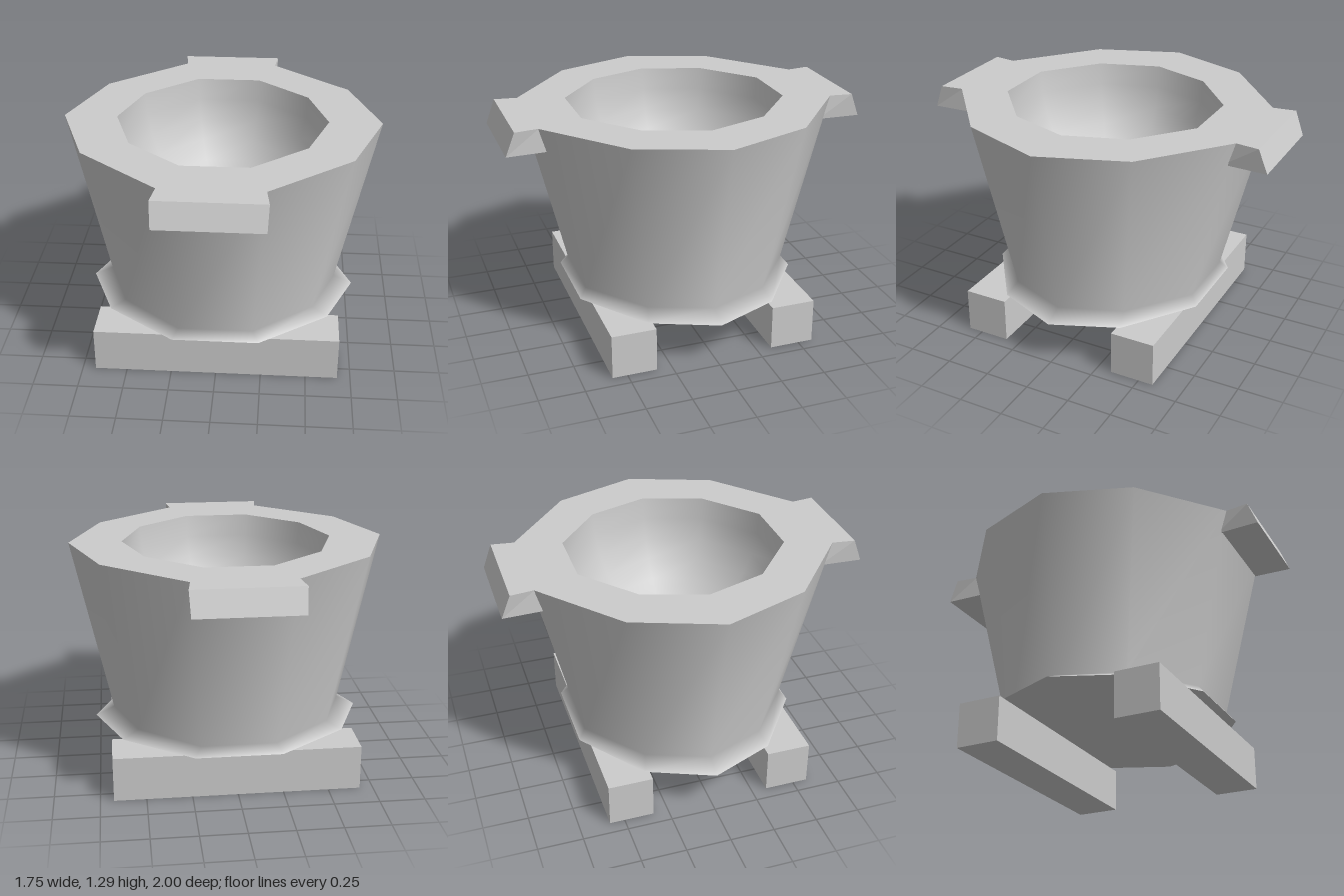
import * as THREE from 'three';

const mat = new THREE.MeshStandardMaterial({ color: 0xcccccc });

// Ten-sided ring from one quadrant: side point, diagonal point, front point
function ring(y, [ax], [bx, bz], [cx, cz]) {
  return [[ax, 0], [bx, bz], [cx, cz], [-cx, cz], [-bx, bz],
    [-ax, 0], [-bx, -bz], [-cx, -cz], [cx, -cz], [bx, -bz]].map(([x, z]) => [x, y, z]);
}
const scaled = (r, y, sx, sz = sx) => r.map(([x, , z]) => [x * sx, y, z * sz]);

// Skin over successive rings, smooth within one skin
function loft(name, rings) {
  const n = rings[0].length, idx = [];
  for (let r = 0; r < rings.length - 1; r++) {
    for (let i = 0; i < n; i++) {
      const a = r * n + i, b = r * n + (i + 1) % n;
      idx.push(a, a + n, b, a + n, b + n, b);
    }
  }
  const geo = new THREE.BufferGeometry();
  geo.setAttribute('position', new THREE.Float32BufferAttribute(rings.flat(2), 3));
  geo.setIndex(idx);
  geo.computeVertexNormals();
  const mesh = new THREE.Mesh(geo, mat);
  mesh.name = name;
  return mesh;
}

export function createModel() {
  const model = new THREE.Group();
  model.name = 'mortar';
  const top = 1.29, base = 0.255, floor = 0.65;

  const rim = ring(top, [0.873], [0.702, 0.465], [0.27, 0.823]);
  const lip = ring(top, [0.582], [0.47, 0.333], [0.18, 0.576]);
  const waist = scaled(rim, 0.305, 0.755, 0.722);
  const flange = scaled(rim, base, 0.875, 0.77);

  // Tapered wall with flared foot ring, flat rim and underside
  model.add(loft('outerWall', [flange, waist, rim]));
  model.add(loft('rim', [rim, lip]));
  model.add(loft('underside', [scaled(flange, base, 0.001), flange]));

  // Rounded hollow
  const bowl = [];
  for (let i = 0; i <= 8; i++) {
    const t = (i / 8) * Math.PI / 2;
    bowl.push(scaled(lip, top - (top - floor) * Math.sin(t), Math.max(Math.cos(t), 0.001)));
  }
  model.add(loft('bowl', bowl));

  // Front and back: a sloped lug at the rim and a foot bar below
  for (const s of [1, -1]) {
    const geo = new THREE.BoxGeometry(2, 2, 2);
    const p = geo.attributes.position;
    for (let i = 0; i < p.count; i++) {
      const up = p.getY(i) > 0, out = p.getZ(i) * s > 0;
      const w = out ? (up ? 0.285 : 0.278) : 0.268;
      const z = out ? (up ? 0.95 : 1.0) : (up ? 0.82 : 0.76);
      p.setXYZ(i, Math.sign(p.getX(i)) * w, up ? top : 1.16, s * z);
    }
    const flat = geo.toNonIndexed();
    flat.computeVertexNormals();
    const lug = new THREE.Mesh(flat, mat);
    lug.name = s > 0 ? 'frontLug' : 'backLug';

    const foot = new THREE.Mesh(new THREE.BoxGeometry(1.354, 0.25, 0.248), mat);
    foot.name = s > 0 ? 'frontFoot' : 'backFoot';
    foot.position.set(0, 0.125, s * 0.459);
    model.add(lug, foot);
  }
  return model;
}
